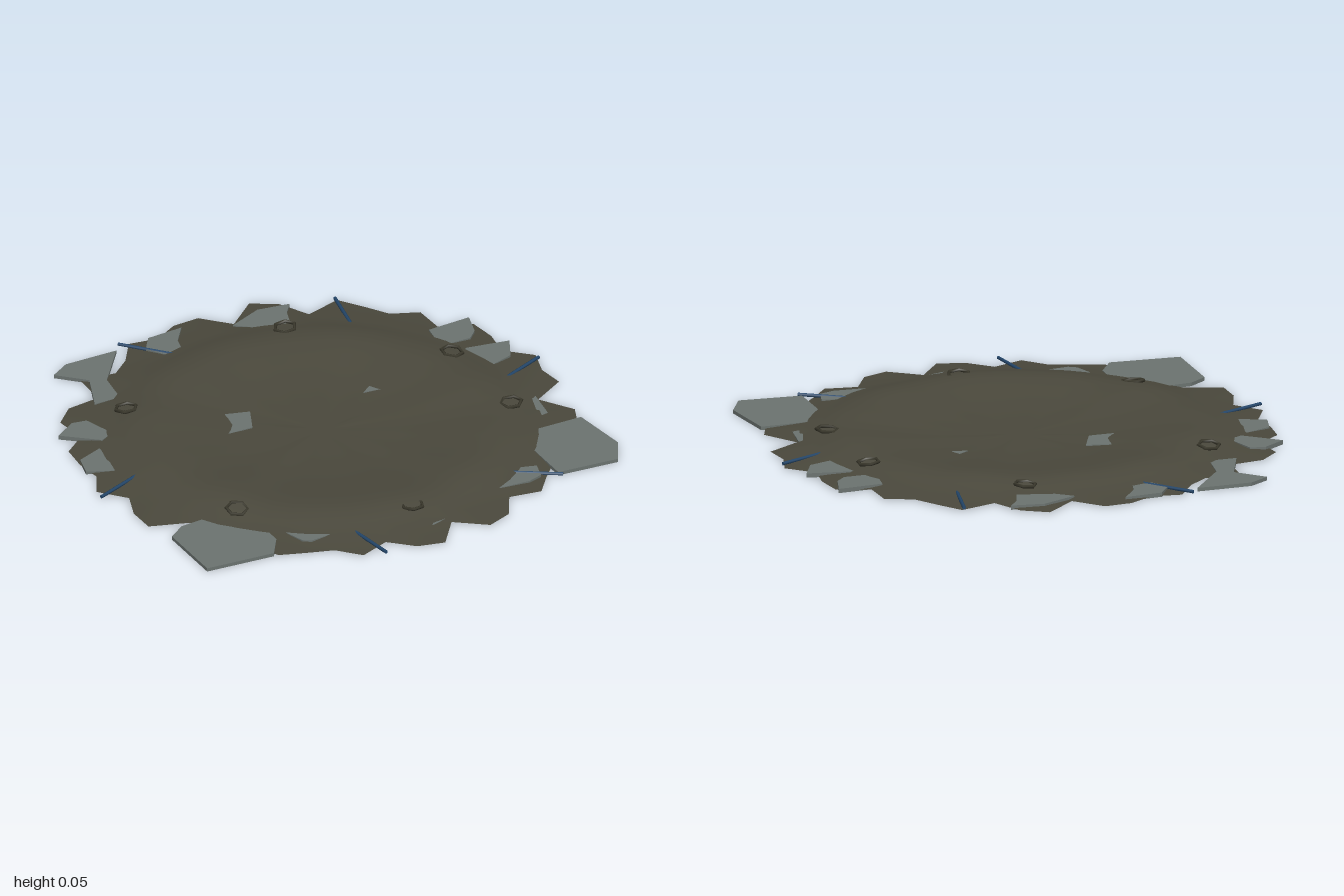
import * as THREE from 'three';

const mat = (name, color, extra = {}) => Object.assign(new THREE.MeshStandardMaterial({ color, ...extra }), { name });

// Jagged outer radius, one per 1/56 turn, starting at the front and going to -x
const EDGE = [
  .98, .96, .89, .97, .92, .94, .97, .93, .90, .88, .87, .99, .96, .90,
  .98, .93, .96, .98, .92, 1.0, .98, .89, 1.0, .90, .92, .99, .94, .98,
  .98, .88, 1.01, .98, .89, 1.0, .96, .93, .98, .91, 1.0, .97, .92, 1.0,
  .96, .98, .86, .98, .98, .88, .90, .92, .93, .96, .88, .96, .97, .86];

// Shallow bowl: radius and height of each ring
const RINGS = [[.1, .009], [.2, .01], [.3, .013], [.38, .018], [.46, .026], [.54, .036],
  [.62, .044], [.69, .045], [.76, .031], [.83, .014]];

function dirtGeometry() {
  const n = EDGE.length, pos = [0, .008, 0], idx = [];
  const rings = [...RINGS, null];
  rings.forEach((ring) => {
    for (let k = 0; k < n; k++) {
      const a = (k / n) * Math.PI * 2;
      const r = ring ? ring[0] : EDGE[k];
      const wave = 1 + .06 * Math.sin(a * 7) + .05 * Math.sin(a * 12 + 1);
      pos.push(-Math.sin(a) * r, ring ? ring[1] * wave : .005, Math.cos(a) * r);
    }
  });
  for (let k = 0; k < n; k++) {
    const k2 = (k + 1) % n;
    idx.push(0, 1 + k2, 1 + k);
    for (let j = 0; j < rings.length - 1; j++) {
      const a = 1 + j * n + k, b = 1 + j * n + k2;
      idx.push(a, b, a + n, b, b + n, a + n);
    }
  }
  const g = new THREE.BufferGeometry();
  g.setAttribute('position', new THREE.Float32BufferAttribute(pos, 3));
  g.setIndex(idx);
  g.computeVertexNormals();
  return g;
}

// Flat slab from an outline of (x, z) corners
function slabGeometry(points, depth) {
  const shape = new THREE.Shape(points.map(([x, z]) => new THREE.Vector2(x, -z)));
  const g = new THREE.ExtrudeGeometry(shape, { depth, bevelEnabled: false });
  return g.rotateX(-Math.PI / 2);
}

export function createModel() {
  const model = new THREE.Group();
  model.name = 'rubblePatch';
  const dirt = mat('dirt', 0x4a483c, { side: THREE.DoubleSide });
  const concrete = mat('concrete', 0x6b7370);
  const steel = mat('blueSteel', 0x24476b);
  const darkMetal = mat('darkMetal', 0x3a382c);

  const add = (name, geometry, material, parent = model) => {
    const m = new THREE.Mesh(geometry, material);
    m.name = name;
    parent.add(m);
    return m;
  };
  const group = (name) => {
    const g = new THREE.Group();
    g.name = name;
    model.add(g);
    return g;
  };

  add('dirtMound', dirtGeometry(), dirt);

  // Large slabs lying over the rim
  const large = group('largeSlabs');
  [
    [[-.9, .45], [-.83, .4], [-.72, .39], [-.56, .46], [-.56, .66], [-.62, .75], [-.9, .73]],
    [[.68, .4], [.91, .4], [.94, .64], [.88, .75], [.63, .73], [.63, .5]],
    [[-.7, -.85], [-.62, -.9], [-.4, -.9], [-.54, -.72], [-.56, -.58], [-.67, -.58], [-.6, -.75]],
  ].forEach((p) => add('largeSlab', slabGeometry(p, .014), concrete, large));

  // Smaller slabs showing through the dirt
  const small = group('smallSlabs');
  [
    [[-.91, -.43], [-.82, -.49], [-.76, -.48], [-.72, -.35], [-.78, -.32]],
    [[.72, -.46], [.9, -.47], [.87, -.37], [.83, -.33], [.7, -.33]],
    [[.78, -.27], [.95, -.24], [.9, -.14], [.72, -.08], [.64, -.2]],
    [[-.3, -.85], [-.25, -.92], [-.1, -.93], [-.16, -.85], [-.2, -.7]],
    [[.08, -.85], [.22, -.91], [.35, -.89], [.31, -.84], [.26, -.7]],
    [[-.38, -.13], [-.34, -.24], [-.28, -.27], [-.18, -.24], [-.23, -.13]],
    [[.27, -.16], [.35, -.22], [.4, -.18], [.4, -.14]],
    [[.34, .73], [.42, .6], [.58, .65], [.56, .72], [.5, .74]],
    [[-.48, .72], [-.52, .6], [-.36, .57], [-.35, .73], [-.45, .74]],
  ].forEach((p) => add('smallSlab', slabGeometry(p, .017), concrete, small));

  // Buried slabs, seen from below
  const chunk = slabGeometry([[-.12, -.02], [-.06, -.09], [.08, -.08], [.12, .04], [-.03, .09]], .012);
  const buried = group('buriedSlabs');
  [[.45, -.47], [.75, .24], [.52, .22], [-.37, -.48], [-.55, -.05], [-.83, -.18], [-.56, .18],
    [-.57, .4], [-.16, .63], [.04, .76], [.34, .5]].forEach(([x, z], i) => {
    const m = add('buriedSlab', chunk, concrete, buried);
    m.position.set(x, 0, z);
    m.rotation.y = .8 + Math.sin(i * 2.3) * .4;
  });

  // Reinforcing rods, from outer end to inner end
  const rods = group('rods');
  [[-.37, -.94, -.18, -.72], [.525, -.85, .47, -.58], [.99, -.08, .73, .03],
    [-.99, .055, -.73, -.05], [.64, .75, .39, .59], [-.24, .95, -.28, .68]].forEach(([x1, z1, x2, z2]) => {
    const length = Math.hypot(x2 - x1, z2 - z1);
    const rod = add('rod', new THREE.CylinderGeometry(.007, .007, length, 6).rotateX(Math.PI / 2), steel, rods);
    rod.position.set((x1 + x2) / 2, .014, (z1 + z2) / 2);
    rod.rotation.y = Math.atan2(x2 - x1, z2 - z1);
  });

  // Six-sided rings half sunk in the dirt
  const ringGeometry = new THREE.TorusGeometry(.042, .007, 5, 6).rotateX(Math.PI / 2);
  const ringGroup = group('rings');
  [[.23, -.71], [.7, -.24], [.71, .21], [0, .72], [-.6, .42], [-.6, -.46]].forEach(([x, z], i) => {
    const ring = add('ring', ringGeometry, darkMetal, ringGroup);
    ring.position.set(x, .039, z);
    ring.rotation.set(.1 * Math.sin(i * 2), i * .4, .1 * Math.cos(i * 3));
  });

  return model;
}
